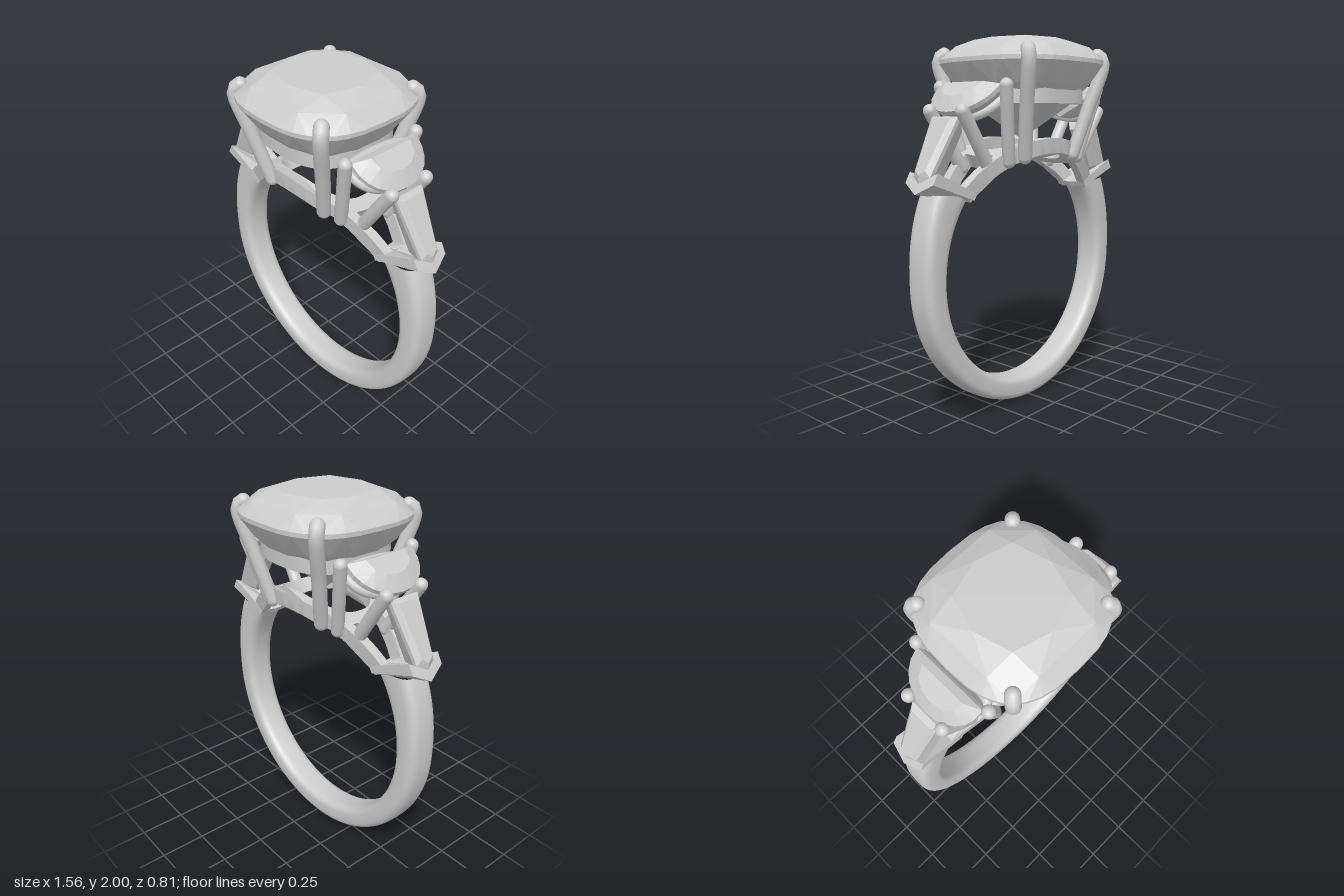
import * as THREE from 'three';
import { toCreasedNormals } from 'three/addons/utils/BufferGeometryUtils.js';
import { ConvexGeometry } from 'three/addons/geometries/ConvexGeometry.js';

const V = (x, y, z) => new THREE.Vector3(x, y, z);
const RAD = Math.PI / 180;
const FINGER_R = 0.635, FINGER_Y = 0.765;
const spow = (v, p) => Math.sign(v) * Math.abs(v) ** p;

// Cushion outline: n points on a superellipse
function cushion(n, rx, ry, offset = 0, power = 2.8) {
  return Array.from({ length: n }, (_, i) => {
    const a = (i + offset) / n * Math.PI * 2;
    return new THREE.Vector2(rx * spow(Math.cos(a), 2 / power), ry * spow(Math.sin(a), 2 / power));
  });
}

// Shank: rounded section swept around the finger, thicker at the shoulders
function bandGeometry() {
  const N = 112, M = 28, pos = [], idx = [];
  for (let i = 0; i <= N; i++) {
    for (let j = 0; j < M; j++) {
      const phi = j / M * Math.PI * 2;
      const z = 0.088 * spow(Math.cos(phi), 0.6);
      const f = 0.5 + 0.5 * spow(Math.sin(phi), 0.6);
      const end = 41 - 8 * f;
      const a = (end - (180 + 2 * end) * i / N) * RAD;
      const h = Math.sin(a);
      const outer = 0.765 + 0.01 * (1 + h) + 0.052 * (Math.max(0, h) / 0.55) ** 1.5;
      const r = FINGER_R + (outer - FINGER_R) * f;
      pos.push(r * Math.cos(a), FINGER_Y + r * h, z);
    }
  }
  for (let i = 0; i < N; i++) {
    for (let j = 0; j < M; j++) {
      const a = i * M + j, b = i * M + (j + 1) % M;
      idx.push(a, a + M, b, b, a + M, b + M);
    }
  }
  const g = new THREE.BufferGeometry();
  g.setAttribute('position', new THREE.Float32BufferAttribute(pos, 3));
  g.setIndex(idx);
  g.computeVertexNormals();
  return g;
}

// Flat ring between two outlines, lying in the xz plane
function flatRing(outer, inner, height) {
  const shape = new THREE.Shape(outer);
  shape.holes.push(new THREE.Path(inner));
  return new THREE.ExtrudeGeometry(shape, { depth: height, bevelEnabled: false }).rotateX(-Math.PI / 2);
}

// Wrap a flat ring around the finger opening
function wrapOnFinger(g) {
  const p = g.attributes.position;
  for (let i = 0; i < p.count; i++) {
    const a = p.getX(i) / FINGER_R, r = FINGER_R + p.getY(i);
    p.setXY(i, r * Math.sin(a), FINGER_Y + r * Math.cos(a));
  }
  g.computeVertexNormals();
  return toCreasedNormals(g, 0.6);
}

// Tapered outline with subdivided long edges
function taper(x0, x1, w0, w1) {
  const pts = [], n = 8;
  for (let i = 0; i <= n; i++) pts.push(new THREE.Vector2(x0 + (x1 - x0) * i / n, -(w0 + (w1 - w0) * i / n)));
  for (let i = n; i >= 0; i--) pts.push(new THREE.Vector2(x0 + (x1 - x0) * i / n, w0 + (w1 - w0) * i / n));
  return pts;
}

function mainStoneGeometry() {
  const pts = [V(0, 1.47, 0)];
  const ring = (n, r, y, off) => cushion(n, r, r, off).forEach(p => pts.push(V(p.x, y, p.y)));
  ring(8, 0.235, 2.0, 0);
  ring(8, 0.345, 1.955, 0.5);
  ring(32, 0.405, 1.89, 0);
  ring(32, 0.405, 1.868, 0);
  ring(16, 0.335, 1.76, 0.5);
  ring(8, 0.235, 1.65, 0);
  return new ConvexGeometry(pts);
}

// Half-moon point: u runs outward and down along the tilted stone, h is height above it
const moonPoint = (u, z, h) => V(0.395 + 0.774 * u + 0.633 * h, 1.745 - 0.633 * u + 0.774 * h, z);
function moonOutline(n, len, half, h, u0 = 0) {
  return Array.from({ length: n + 1 }, (_, i) => {
    const a = -Math.PI / 2 + Math.PI * i / n;
    return moonPoint(u0 + len * spow(Math.cos(a), 0.85), half * Math.sin(a), h);
  });
}

function baguetteGeometry() {
  const pts = [];
  const layer = (h, inset, w0, w1) => {
    const at = (u, z) => pts.push(V(0.565 + 0.49 * u + 0.87 * h, 1.59 - 0.87 * u + 0.49 * h, z));
    for (const s of [-1, 1]) {
      at(inset, s * w0);
      at(0.33 - inset, s * w1);
    }
    at(0.37 - inset * 1.5, 0);
  };
  layer(0.03, 0.025, 0.065, 0.035);
  layer(0.005, 0, 0.09, 0.058);
  layer(-0.015, 0, 0.09, 0.058);
  layer(-0.1, 0.03, 0.035, 0.025);
  return new ConvexGeometry(pts);
}

export function createModel() {
  const model = new THREE.Group();
  model.name = 'threeStoneRing';
  const silver = new THREE.MeshStandardMaterial({ color: 0xcccccc });
  silver.name = 'silver grey';

  const add = (name, geometry, parent = model) => {
    const mesh = new THREE.Mesh(geometry, silver);
    mesh.name = name;
    parent.add(mesh);
    return mesh;
  };

  // Round wire prong with domed ends
  const prong = (name, pts, r, parent) => {
    const g = new THREE.Group();
    g.name = name;
    parent.add(g);
    add('wire', new THREE.TubeGeometry(new THREE.CatmullRomCurve3(pts), 20, r, 14), g);
    for (const p of [pts[0], pts[pts.length - 1]]) {
      add('domedEnd', new THREE.SphereGeometry(r, 14, 10), g).position.copy(p);
    }
  };

  add('band', bandGeometry());
  add('mainStone', mainStoneGeometry());

  // Basket: upper rail under the stone and saddle-shaped base ring
  const rail = flatRing(cushion(64, 0.305, 0.305), cushion(64, 0.25, 0.25), 0.09).translate(0, 1.66, 0);
  add('upperRail', toCreasedNormals(rail, 0.6));
  add('baseRing', wrapOnFinger(flatRing(cushion(72, 0.32, 0.225, 0, 2.5), cushion(72, 0.25, 0.165, 0, 2.5), 0.08)));

  for (const sx of [1, -1]) {
    for (const sz of [1, -1]) {
      prong('mainProng', [V(0.205 * sx, 1.385, 0.2 * sz), V(0.265 * sx, 1.64, 0.262 * sz),
        V(0.315 * sx, 1.86, 0.318 * sz), V(0.314 * sx, 1.9, 0.315 * sz), V(0.295 * sx, 1.922, 0.295 * sz)], 0.037, model);
    }
  }

  // Side settings: built once, the second turned half way round
  for (const turn of [0, Math.PI]) {
    const side = new THREE.Group();
    side.name = turn ? 'rightShoulder' : 'leftShoulder';
    side.rotation.y = turn;
    model.add(side);

    add('halfMoonStone', new ConvexGeometry([
      ...moonOutline(6, 0.11, 0.13, 0.045, 0.025),
      ...moonOutline(12, 0.215, 0.215, 0.008),
      ...moonOutline(12, 0.215, 0.215, -0.015),
      ...moonOutline(6, 0.12, 0.13, -0.1, 0.02),
      moonPoint(0.06, 0, -0.15)]), side);
    const railPath = new THREE.CatmullRomCurve3(moonOutline(12, 0.165, 0.185, -0.075, 0), true);
    add('halfMoonRail', new THREE.TubeGeometry(railPath, 60, 0.024, 8, true), side);
    add('baguetteStone', baguetteGeometry(), side);

    // Two rails following the finger between base ring and shank
    add('shoulderRails', wrapOnFinger(flatRing(
      taper(0.27, 0.56, 0.165, 0.088), taper(0.31, 0.54, 0.1, 0.04), 0.08)), side);

    for (const s of [1, -1]) {
      prong('halfMoonInnerProng', [V(0.29, 1.365, 0.165 * s), V(0.345, 1.58, 0.205 * s), V(0.385, 1.745, 0.235 * s)], 0.034, side);
      prong('halfMoonOuterProng', [V(0.365, 1.325, 0.1 * s), V(0.47, 1.48, 0.11 * s), V(0.568, 1.62, 0.115 * s)], 0.035, side);
      // One arm of the V-shaped end plate
      add('chevronArm', new ConvexGeometry([
        V(0.778, 1.225, 0), V(0.752, 1.275, 0), V(0.45, 1.2, 0), V(0.465, 1.172, 0),
        V(0.748, 1.275, 0.1 * s), V(0.718, 1.328, 0.1 * s), V(0.455, 1.21, 0.1 * s), V(0.475, 1.178, 0.1 * s)]), side);
    }
  }
  return model;
}
